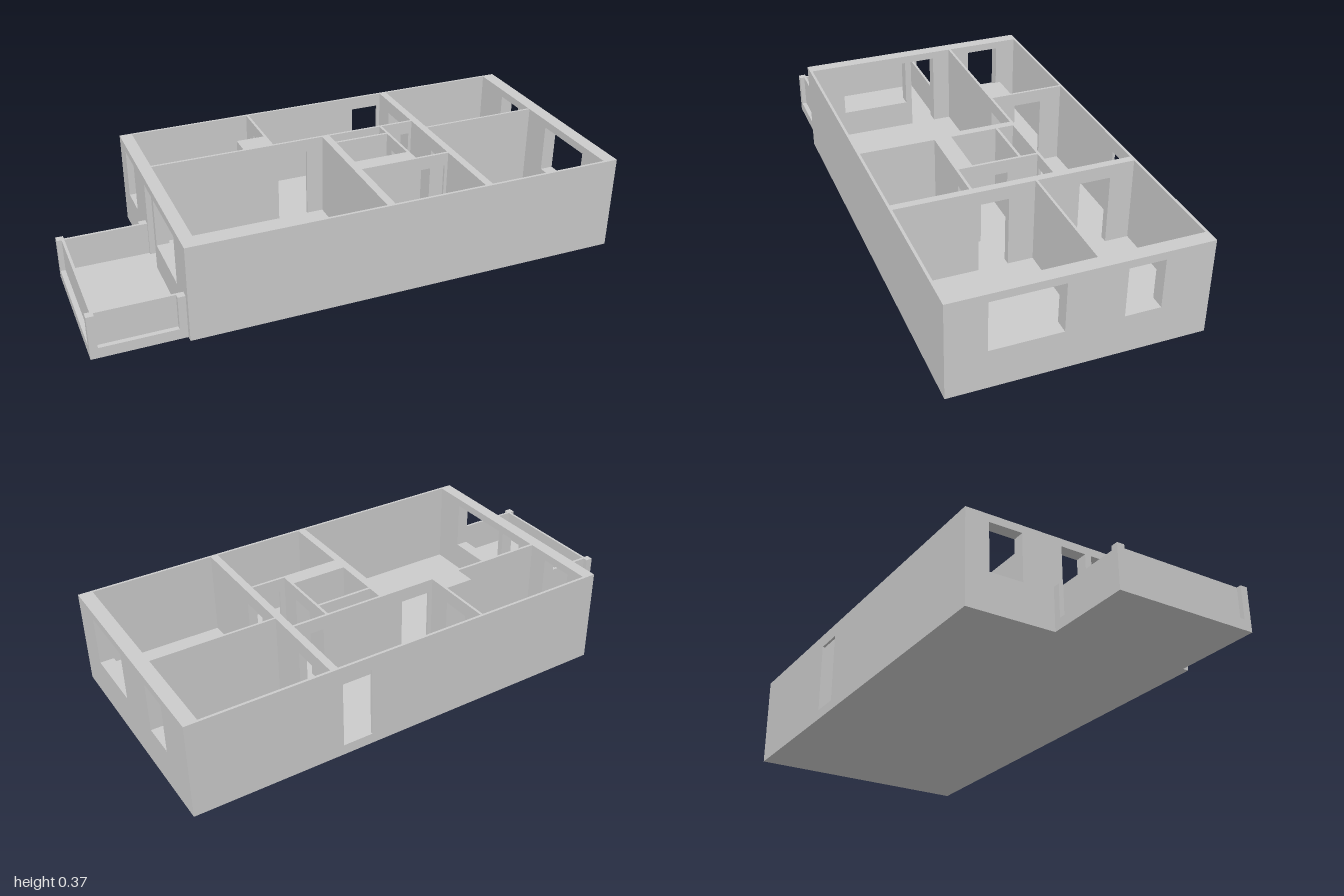
import * as THREE from 'three';

const material = new THREE.MeshStandardMaterial({ color: 0xcccccc, flatShading: true });
const FLOOR = 0.04, TOP = 0.365, DOOR = 0.313, SILL = 0.148, LINTEL = 0.335;
const door = (a, b, top = DOOR) => [a, b, FLOOR, top];
const win = (a, b) => [a, b, SILL, LINTEL];

export function createModel() {
  const model = new THREE.Group();

  function add(name, geometry) {
    const mesh = new THREE.Mesh(geometry, material);
    mesh.name = name;
    model.add(mesh);
    return mesh;
  }

  function box(name, x0, x1, y0, y1, z0, z1) {
    return add(name, new THREE.BoxGeometry(x1 - x0, y1 - y0, z1 - z0))
      .position.set((x0 + x1) / 2, (y0 + y1) / 2, (z0 + z1) / 2);
  }

  // Elevation of a wall: doors notch the lower edge, windows are holes
  function elevation(u0, u1, openings) {
    const shape = new THREE.Shape();
    shape.moveTo(u0, FLOOR);
    for (const [a, b, bottom, top] of openings) {
      if (bottom > FLOOR) {
        const hole = new THREE.Path();
        hole.moveTo(a, bottom).lineTo(a, top).lineTo(b, top).lineTo(b, bottom).closePath();
        shape.holes.push(hole);
      } else {
        shape.lineTo(a, FLOOR).lineTo(a, top).lineTo(b, top).lineTo(b, FLOOR);
      }
    }
    shape.lineTo(u1, FLOOR).lineTo(u1, TOP).lineTo(u0, TOP).closePath();
    return shape;
  }

  // Wall running along x, between z0 and z1
  function wallX(name, x0, x1, z0, z1, openings = []) {
    const g = new THREE.ExtrudeGeometry(elevation(x0, x1, openings),
      { depth: z1 - z0, bevelEnabled: false });
    add(name, g.translate(0, 0, z0));
  }

  // Wall running along z, between x0 and x1 (drawn mirrored, then turned)
  function wallZ(name, x0, x1, z0, z1, openings = []) {
    const flipped = openings.map(([a, b, lo, hi]) => [-b, -a, lo, hi]).reverse();
    const g = new THREE.ExtrudeGeometry(elevation(-z1, -z0, flipped),
      { depth: x1 - x0, bevelEnabled: false });
    add(name, g.rotateY(Math.PI / 2).translate(x0, 0, 0));
  }

  // Floor slabs
  box('houseFloor', -0.667, 1, 0, FLOOR, -0.456, 0.456);
  box('balconyFloor', -1, -0.667, 0, FLOOR, -0.113, 0.432);

  // Outer walls: thick ends, thin long sides
  wallX('frontWall', -0.62, 0.948, 0.446, 0.456);
  wallX('backWall', -0.62, 0.948, -0.456, -0.446, [door(0.32, 0.435)]);
  wallZ('balconyEndWall', -0.667, -0.62, -0.456, 0.456,
    [win(-0.365, -0.235), door(-0.075, 0.025, LINTEL), win(0.05, 0.32)]);
  wallZ('windowEndWall', 0.948, 1, -0.456, 0.456,
    [win(-0.28, -0.15), win(0.058, 0.315)]);

  // Main partitions
  wallZ('bedroomWall', 0.447, 0.476, -0.446, 0.446,
    [door(-0.355, -0.237), door(0.03, 0.142)]);
  wallX('bedroomDivider', 0.476, 0.948, -0.075, -0.066);
  wallX('hallWall', -0.62, 0.447, -0.155, -0.145,
    [door(-0.125, -0.005), door(0.33, 0.435)]);
  wallZ('kitchenWall', -0.15, -0.14, -0.446, -0.155, [door(-0.36, -0.25)]);
  box('kitchenShaft', -0.26, -0.15, FLOOR, TOP, -0.235, -0.155);
  wallZ('livingRoomWall', 0.06, 0.09, -0.145, 0.446);

  // Service core with closet, bathroom and corridor
  wallX('closetWall', 0.09, 0.305, -0.085, -0.075);
  wallZ('corridorWall', 0.305, 0.315, -0.145, 0.155, [door(-0.03, 0.07)]);
  box('bathroomShaft', 0.09, 0.305, FLOOR, TOP, 0.1, 0.155);
  wallX('frontRoomWall', 0.09, 0.447, 0.155, 0.165, [door(0.335, 0.435)]);

  // Balcony parapet: corner posts with thin panels set in from the outer face
  const RAIL = 0.167;
  for (const [x0, x1] of [[-1, -0.972], [-0.695, -0.667]])
    for (const [z0, z1] of [[-0.113, -0.085], [0.404, 0.432]])
      box('balconyPost', x0, x1, FLOOR, RAIL, z0, z1);
  box('balconyBackPanel', -0.972, -0.695, FLOOR, RAIL, -0.095, -0.085);
  box('balconyFrontPanel', -0.972, -0.695, FLOOR, RAIL, 0.404, 0.414);
  box('balconyEndPanel', -0.982, -0.972, FLOOR, RAIL, -0.085, 0.404);

  return model;
}
